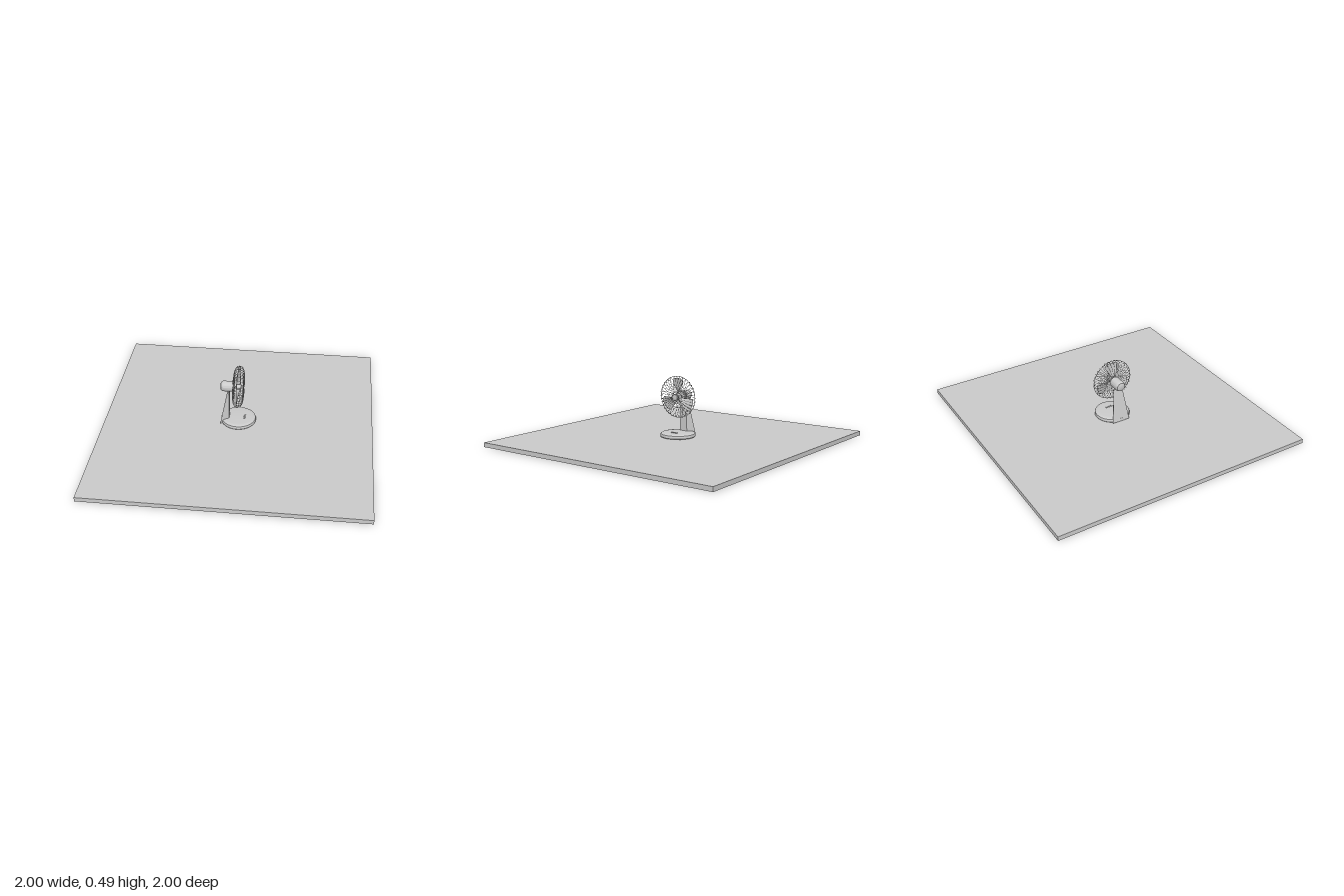
import * as THREE from 'three';
import { toCreasedNormals } from 'three/addons/utils/BufferGeometryUtils.js';

const grey = new THREE.MeshStandardMaterial({ color: 0xcccccc });
const greyThin = new THREE.MeshStandardMaterial({ color: 0xcccccc, side: THREE.DoubleSide });

function add(parent, name, geometry, material = grey) {
  const mesh = new THREE.Mesh(geometry, material);
  mesh.name = name;
  parent.add(mesh);
  return mesh;
}

// Turned part from [radius, height] pairs, listed bottom to top
function turned(points, segments = 48) {
  const profile = points.map(([r, y]) => new THREE.Vector2(r, y));
  return toCreasedNormals(new THREE.LatheGeometry(profile, segments), 0.6);
}

// Tapered upright: a wide back face and a narrower front face, leaning forward
function columnGeometry() {
  const g = new THREE.BoxGeometry(1, 1, 1);
  const p = g.attributes.position;
  for (let i = 0; i < p.count; i++) {
    const top = p.getY(i) > 0, front = p.getX(i) > 0;
    const x = front ? -0.068 : top ? -0.082 : -0.13;
    const half = front ? (top ? 0.022 : 0.034) : (top ? 0.036 : 0.07);
    p.setXYZ(i, x, top ? 0.295 : 0.04, Math.sign(p.getZ(i)) * half);
  }
  const flat = g.toNonIndexed();
  flat.computeVertexNormals();
  return flat;
}

// Pitched, fan-shaped blade, spreading from the hub and rounded at the tip
function bladeGeometry() {
  const g = new THREE.PlaneGeometry(1, 1, 10, 10);
  const p = g.attributes.position;
  for (let i = 0; i < p.count; i++) {
    const u = p.getX(i) * 2, v = p.getY(i) + 0.5;
    const angle = u * (0.32 + 0.16 * Math.sin(v * Math.PI * 0.7));
    const r = 0.018 + v * (0.122 - 0.016 * u ** 4);
    p.setXYZ(i, r * Math.cos(angle), u * 0.014 * (1 - 0.3 * v), r * Math.sin(angle));
  }
  g.computeVertexNormals();
  return g;
}

export function createModel() {
  const model = new THREE.Group();
  model.name = 'deskFan';

  // Ground slab
  add(model, 'slab', new THREE.BoxGeometry(2, 0.033, 2)).position.y = 0.0165;

  // Round base with a softened top edge, standing on small feet
  add(model, 'base', turned([
    [0, 0.037], [0.127, 0.037], [0.13, 0.041], [0.13, 0.054],
    [0.127, 0.061], [0.119, 0.066], [0.1, 0.068], [0, 0.068],
  ], 64));
  for (let i = 0; i < 4; i++) {
    const a = Math.PI / 4 + i * Math.PI / 2;
    add(model, 'foot', new THREE.CylinderGeometry(0.014, 0.014, 0.006, 16))
      .position.set(0.1 * Math.cos(a), 0.035, 0.1 * Math.sin(a));
  }

  // Control buttons
  for (let i = 0; i < 3; i++) {
    add(model, 'button', new THREE.BoxGeometry(0.014, 0.006, 0.012))
      .position.set(0.045, 0.07, (i - 1) * 0.02);
  }

  add(model, 'column', columnGeometry());

  // Head: built along its own y axis, then turned to face +x
  const head = new THREE.Group();
  head.name = 'head';
  head.position.y = 0.333;
  head.rotation.z = -Math.PI / 2;
  model.add(head);

  add(head, 'motorHousing', turned([
    [0, -0.133], [0.024, -0.132], [0.032, -0.128], [0.037, -0.119],
    [0.039, -0.108], [0.039, -0.036], [0.036, -0.033], [0, -0.033],
  ]));
  add(head, 'shaft', new THREE.CylinderGeometry(0.006, 0.006, 0.05, 16)).position.y = -0.012;

  // Rotor
  add(head, 'hub', turned([
    [0, -0.018], [0.022, -0.018], [0.022, 0.01], [0.018, 0.018], [0, 0.021],
  ], 32));
  const blade = bladeGeometry();
  for (let i = 0; i < 3; i++) {
    add(head, 'blade', blade, greyThin).rotation.y = Math.PI + i * Math.PI * 2 / 3;
  }

  // Guard: bent wires from the rear mount around the rim to the front badge
  const wireCurve = new THREE.CatmullRomCurve3([
    [0.022, -0.035], [0.08, -0.037], [0.125, -0.032], [0.147, -0.019], [0.154, 0],
    [0.147, 0.019], [0.125, 0.032], [0.08, 0.037], [0.022, 0.035],
  ].map(([r, y]) => new THREE.Vector3(r, y, 0)));
  const wire = new THREE.TubeGeometry(wireCurve, 32, 0.0012, 6);
  const wireCount = 36;
  for (let i = 0; i < wireCount; i++) {
    add(head, 'guardWire', wire).rotation.y = i * Math.PI * 2 / wireCount;
  }
  const ring = (name, radius, y, thickness) => {
    const mesh = add(head, name, new THREE.TorusGeometry(radius, thickness, 8, 64));
    mesh.rotation.x = Math.PI / 2;
    mesh.position.y = y;
  };
  ring('guardRim', 0.1535, 0, 0.002);
  for (const side of [-1, 1]) ring('guardCentreRing', 0.025, side * 0.035, 0.002);

  // Front badge disc
  add(head, 'guardCap', turned([
    [0, 0.032], [0.022, 0.032], [0.024, 0.035], [0.021, 0.038], [0, 0.039],
  ], 32));

  return model;
}
